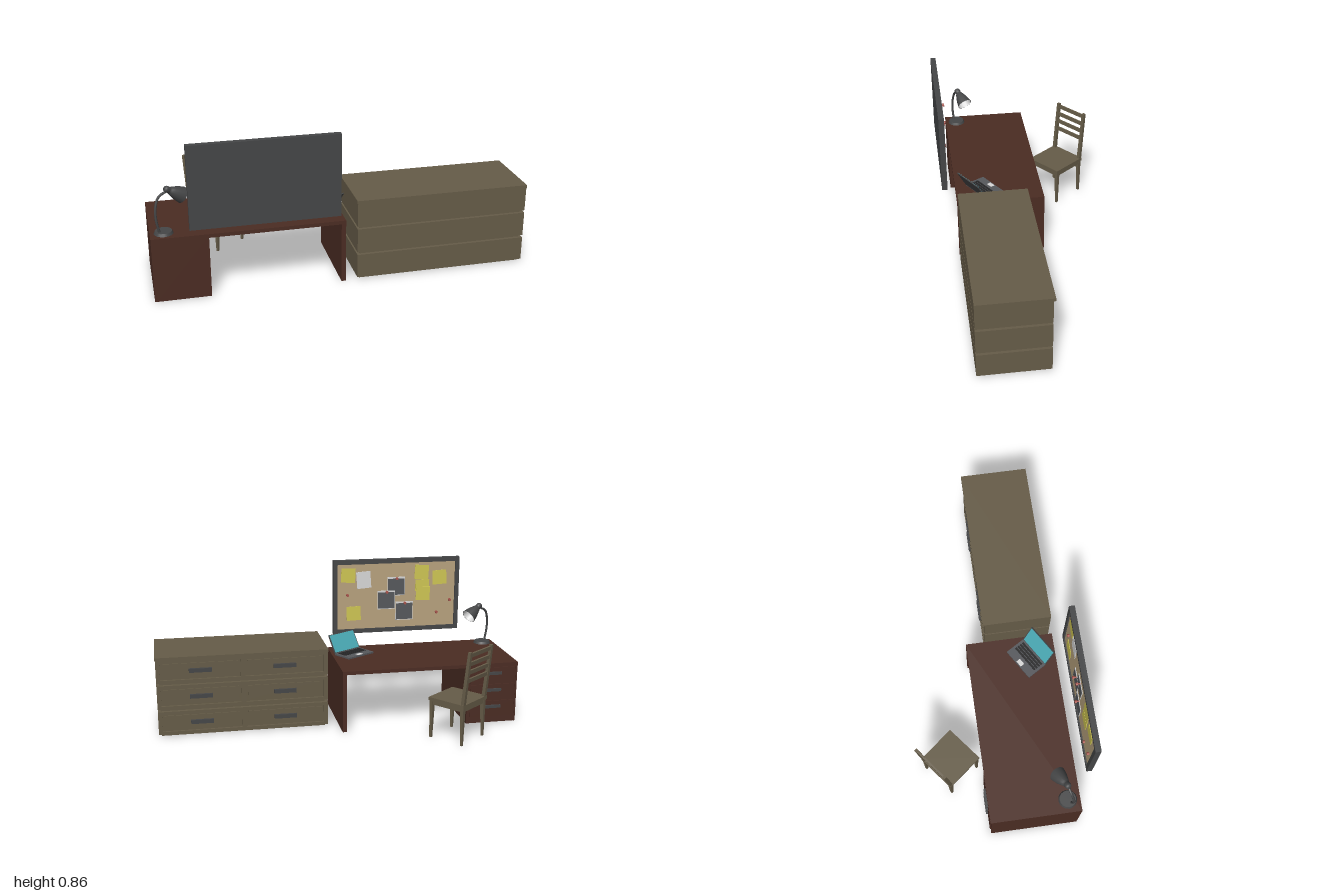
import * as THREE from 'three';

const mat = (name, color, side = THREE.FrontSide) => {
  const m = new THREE.MeshStandardMaterial({ color, side });
  m.name = name;
  return m;
};
const M = {
  wood: mat('olive wood', 0x665c48),
  desk: mat('dark red wood', 0x4b2c23),
  metal: mat('charcoal', 0x454647, THREE.DoubleSide),
  cork: mat('cork', 0xb8a27e),
  yellow: mat('yellow note', 0xcfc653),
  white: mat('white', 0xd8d8d8, THREE.DoubleSide),
  grey: mat('slate grey', 0x56585c),
  teal: mat('teal screen', 0x4aa9b4),
  red: mat('red pin', 0xa8544c),
  dark: mat('near black', 0x262627),
};

function add(parent, name, geo, material, x = 0, y = 0, z = 0) {
  const mesh = new THREE.Mesh(geo, material);
  mesh.name = name;
  mesh.position.set(x, y, z);
  parent.add(mesh);
  return mesh;
}

// Box given by its lower and upper limits on each axis
function box(parent, name, material, x0, x1, y0, y1, z0, z1) {
  return add(parent, name, new THREE.BoxGeometry(x1 - x0, y1 - y0, z1 - z0), material,
    (x0 + x1) / 2, (y0 + y1) / 2, (z0 + z1) / 2);
}

function group(parent, name) {
  const g = new THREE.Group();
  g.name = name;
  parent.add(g);
  return g;
}

// Tapered square bar between two points, with level ends
function bar(parent, name, material, a, b, wa, wb) {
  const geo = new THREE.BoxGeometry(1, 1, 1);
  const p = geo.attributes.position;
  for (let i = 0; i < p.count; i++) {
    const [e, w] = p.getY(i) > 0 ? [b, wb] : [a, wa];
    p.setXYZ(i, e[0] + p.getX(i) * w, e[1], e[2] + p.getZ(i) * w);
  }
  geo.computeVertexNormals();
  return add(parent, name, geo, material);
}

// Rectangular frame with rectangular holes, lying in the xy plane
function frameGeometry(x0, x1, y0, y1, holes, depth) {
  const rect = (P, a, b, c, d) => new P([[a, c], [b, c], [b, d], [a, d]].map(q => new THREE.Vector2(...q)));
  const s = rect(THREE.Shape, x0, x1, y0, y1);
  s.holes = holes.map(h => rect(THREE.Path, ...h));
  return new THREE.ExtrudeGeometry(s, { depth, bevelEnabled: false });
}

function makeDresser(root) {
  const g = group(root, 'dresser');
  box(g, 'core', M.wood, 0.078, 0.982, 0, 0.44, 0.018, 0.355);
  box(g, 'top', M.wood, 0.06, 1, 0.436, 0.452, -0.01, 0.372);
  for (const [y0, y1] of [[0.012, 0.143], [0.158, 0.291], [0.305, 0.437]]) {
    box(g, 'tier', M.wood, 0.063, 0.997, y0, y1, 0.012, 0.372);
    const holes = [[0.085, 0.517], [0.543, 0.975]].map(([a, b]) => [a, b, y0 + 0.016, y1 - 0.016]);
    add(g, 'tierFrame', frameGeometry(0.063, 0.997, y0, y1, holes, 0.012), M.wood);
    for (const [a, b, c, d] of holes) {
      box(g, 'drawerPanel', M.wood, a + 0.012, b - 0.012, c + 0.01, d - 0.01, 0.006, 0.013);
      const x = (a + b) / 2, y = (c + d) / 2;
      box(g, 'handle', M.metal, x - 0.062, x + 0.062, y - 0.011, y + 0.011, -0.008, 0.008);
    }
  }
}

function makeDesk(root) {
  const g = group(root, 'desk');
  const t = 0.01;
  box(g, 'deskTop', M.desk, -1, 0, 0.33, 0.35, -0.113, 0.372);
  box(g, 'endPanel', M.desk, -0.024, 0, 0, 0.33, -0.113, 0.372);
  // Pedestal, open underneath
  box(g, 'pedestalOuterSide', M.desk, -1, -1 + t, 0, 0.33, -0.11, 0.372);
  box(g, 'pedestalInnerSide', M.desk, -0.71 - t, -0.71, 0, 0.33, -0.11, 0.372);
  box(g, 'pedestalBack', M.desk, -1 + t, -0.71 - t, 0, 0.33, 0.372 - t, 0.372);
  box(g, 'pedestalFront', M.desk, -1 + t, -0.71 - t, 0, 0.33, -0.108, -0.098);
  for (const y of [0.097, 0.195, 0.293]) {
    box(g, 'drawer', M.desk, -0.982, -0.728, y - 0.058, y + 0.032, -0.114, -0.106);
    box(g, 'handle', M.metal, -0.905, -0.805, y - 0.008, y + 0.008, -0.125, -0.112);
  }
}

function makeChair(root) {
  const g = group(root, 'chair');
  g.position.set(-0.6, 0, -0.28);
  g.rotation.y = 0.67;
  box(g, 'seat', M.wood, -0.1125, 0.1125, 0.212, 0.23, -0.1125, 0.1125);
  const r = 0.1;
  // Leaning line of the backrest
  const lean = y => -r - 0.032 * (y - 0.22) / 0.3;
  for (const s of [-1, 1]) {
    for (const f of [-1, 1])
      bar(g, f > 0 ? 'frontLeg' : 'backLeg', M.wood, [s * r, 0, f * r], [s * 0.098, 0.213, f * 0.098], 0.012, 0.022);
    bar(g, 'backPost', M.wood, [s * r, 0.21, -r], [s * r, 0.524, lean(0.524)], 0.02, 0.017);
    box(g, 'sideApron', M.wood, s * r - 0.006, s * r + 0.006, 0.19, 0.213, -r, r);
    box(g, 'crossApron', M.wood, -r, r, 0.19, 0.213, s * r - 0.006, s * r + 0.006);
  }
  for (const y of [0.362, 0.41, 0.457, 0.506]) {
    const slat = box(g, 'backSlat', M.wood, -r, r, y - 0.011, y + 0.011, lean(y) - 0.005, lean(y) + 0.005);
    slat.rotation.x = -0.1;
  }
}

function makeLamp(root) {
  const g = group(root, 'deskLamp');
  add(g, 'lampBase', new THREE.CylinderGeometry(0.044, 0.05, 0.014, 16), M.metal, -0.93, 0.357, 0.305);
  const path = new THREE.CatmullRomCurve3([
    [-0.95, 0.36, 0.32], [-0.963, 0.43, 0.324], [-0.962, 0.495, 0.32],
    [-0.943, 0.548, 0.308], [-0.9, 0.572, 0.294],
  ].map(p => new THREE.Vector3(...p)));
  add(g, 'lampNeck', new THREE.TubeGeometry(path, 20, 0.0065, 8), M.metal);
  // Bell-shaped shade aimed down over the desk
  const head = group(g, 'lampHead');
  head.position.set(-0.907, 0.586, 0.296);
  head.quaternion.setFromUnitVectors(new THREE.Vector3(0, 1, 0),
    new THREE.Vector3(0.085, -0.06, -0.042).normalize());
  const lathe = pts => new THREE.LatheGeometry(pts.map(p => new THREE.Vector2(...p)), 14);
  add(head, 'shade', lathe([[0, -0.004], [0.013, -0.002], [0.017, 0.006], [0.017, 0.022], [0.014, 0.026],
    [0.02, 0.032], [0.027, 0.05], [0.036, 0.075], [0.043, 0.11]]), M.metal);
  add(head, 'shadeLining', lathe([[0, 0.035], [0.018, 0.037], [0.025, 0.052], [0.034, 0.077], [0.041, 0.11]]), M.white);
  add(head, 'bulb', new THREE.SphereGeometry(0.017, 12, 8), M.white, 0, 0.07, 0);
}

function makeLaptop(root) {
  const g = group(root, 'laptop');
  g.position.set(-0.128, 0.35, 0.207);
  g.rotation.y = 0.545;
  box(g, 'laptopBase', M.grey, -0.096, 0.096, 0, 0.009, -0.06, 0.06);
  for (let i = 0; i < 4; i++) {
    const z = 0.042 - i * 0.016;
    box(g, 'keyRow', M.dark, -0.082, 0.082, 0.009, 0.011, z - 0.006, z + 0.006);
  }
  box(g, 'trackpad', M.white, -0.019, 0.019, 0.009, 0.0105, -0.055, -0.03);
  const lid = group(g, 'laptopLid');
  lid.position.set(0, 0.007, 0.06);
  lid.rotation.x = 0.52;
  box(lid, 'lidShell', M.metal, -0.096, 0.096, 0, 0.113, -0.003, 0.003);
  box(lid, 'screen', M.teal, -0.091, 0.091, 0.005, 0.109, -0.0045, -0.003);
}

function makeBoard(root) {
  const g = group(root, 'pinBoard');
  const [x0, x1, y0, y1] = [-0.81, -0.045, 0.415, 0.855], w = 0.025;
  add(g, 'boardFrame', frameGeometry(x0, x1, y0, y1, [[x0 + w, x1 - w, y0 + w, y1 - w]], 0.03), M.metal, 0, 0, 0.419);
  box(g, 'boardBacking', M.metal, x0 + w, x1 - w, y0 + w, y1 - w, 0.435, 0.449);
  box(g, 'corkSheet', M.cork, x0 + w, x1 - w, y0 + w, y1 - w, 0.427, 0.435);
  const sheet = (name, m, x, y, sw, sh, tilt = 0, z = 0.425) => {
    add(g, name, new THREE.BoxGeometry(sw, sh, 0.003), m, x, y, z).rotation.z = tilt;
  };
  // Pin with its head toward the desk
  const pin = (x, y, big) => {
    const len = big ? 0.026 : 0.012, z = big ? 0.412 : 0.419;
    add(g, 'pin', new THREE.CylinderGeometry(0.004, 0.004, len, 8), M.red, x, y, z).rotation.x = Math.PI / 2;
    add(g, 'pinHead', new THREE.CylinderGeometry(0.008, 0.008, 0.012, 10), M.red, x, y, z - len / 2 + 0.005).rotation.x = Math.PI / 2;
  };
  for (const [x, y, t] of [[-0.135, 0.765, 0.05], [-0.168, 0.535, -0.04], [-0.58, 0.77, 0.05], [-0.69, 0.735, -0.05], [-0.59, 0.64, 0.04]])
    sheet('stickyNote', M.yellow, x, y, 0.085, 0.085, t);
  sheet('stickyNote', M.yellow, -0.585, 0.69, 0.085, 0.07, 0, 0.426);
  sheet('paperNote', M.white, -0.228, 0.735, 0.085, 0.1, -0.08);
  [[-0.425, 0.69], [-0.365, 0.61], [-0.475, 0.54]].forEach(([x, y], i) => {
    const z = 0.424 - i * 0.0012;
    sheet('photoBorder', M.white, x, y, 0.106, 0.112, 0, z);
    sheet('photo', M.grey, x, y - 0.003, 0.1, 0.098, 0, z - 0.0008);
    pin(x, y + 0.05, true);
  });
  for (const [x, y] of [[-0.13, 0.648], [-0.755, 0.595], [-0.675, 0.522]]) pin(x, y, false);
}

export function createModel() {
  const root = new THREE.Group();
  root.name = 'studyFurniture';
  makeDresser(root);
  makeDesk(root);
  makeChair(root);
  makeLamp(root);
  makeLaptop(root);
  makeBoard(root);
  return root;
}
